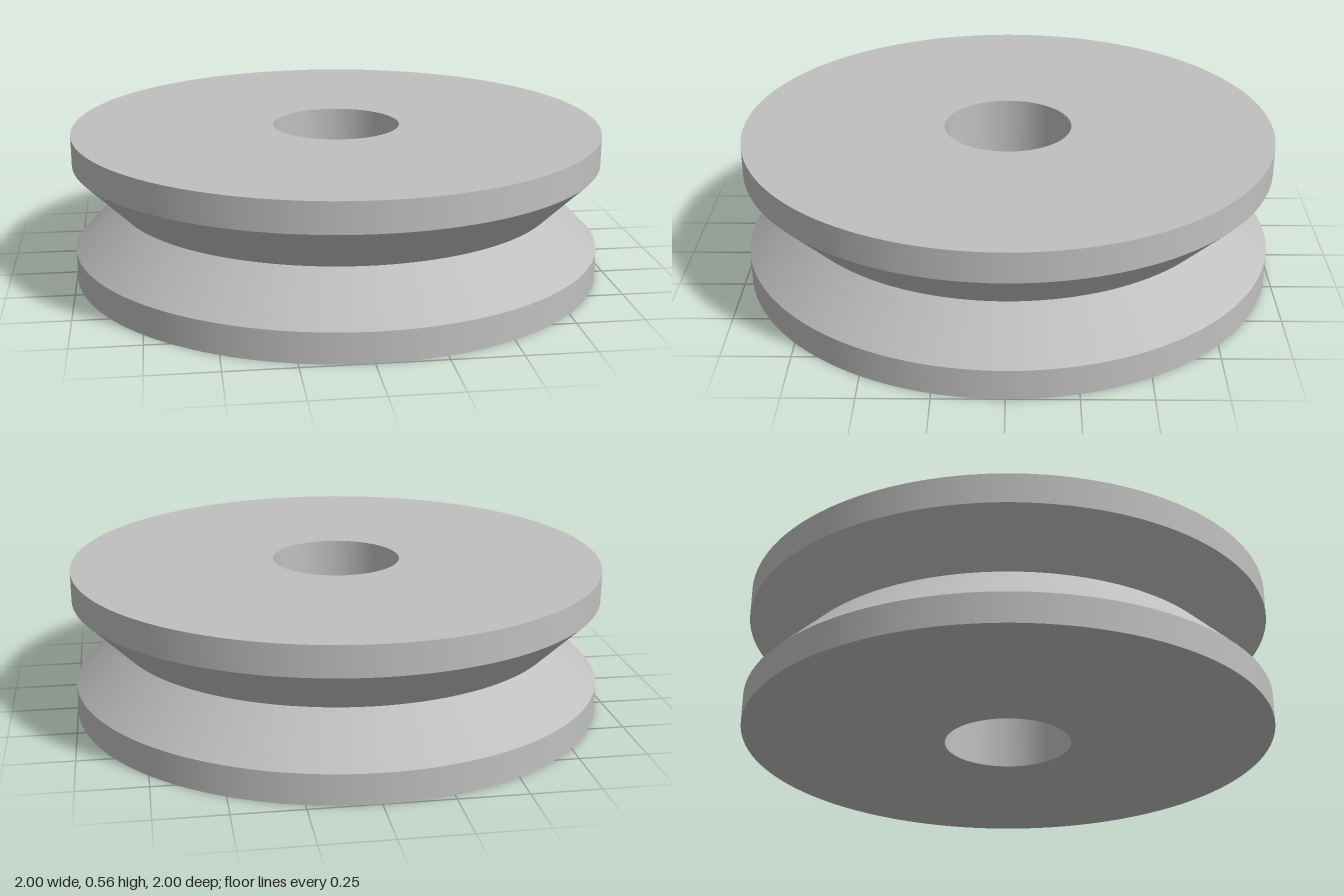
import * as THREE from 'three';
import { mergeGeometries } from 'three/addons/utils/BufferGeometryUtils.js';

export function createModel() {
  const group = new THREE.Group();
  group.name = 'grooved pulley wheel';

  const metal = new THREE.MeshStandardMaterial({ color: 0xc0c0c0 });
  metal.name = 'light grey metal';

  const height = 0.556, rim = 0.112, bore = 0.24, grooveRadius = 0.833;

  // Revolves each straight run of a profile on its own, so the edges between runs stay sharp
  function addTurnedPart(name, profile) {
    const bands = profile.slice(1).map((end, i) => new THREE.LatheGeometry(
      [new THREE.Vector2(...profile[i]), new THREE.Vector2(...end)], 128));
    const mesh = new THREE.Mesh(mergeGeometries(bands), metal);
    mesh.name = name;
    group.add(mesh);
  }

  // Flat faces, rims and the V-shaped groove
  addTurnedPart('wheelBody', [
    [bore, 0], [1, 0], [1, rim], [grooveRadius, height / 2],
    [1, height - rim], [1, height], [bore, height],
  ]);

  // Through hole for the axle, facing inwards
  addTurnedPart('axleBore', [[bore, height], [bore, 0]]);

  return group;
}
